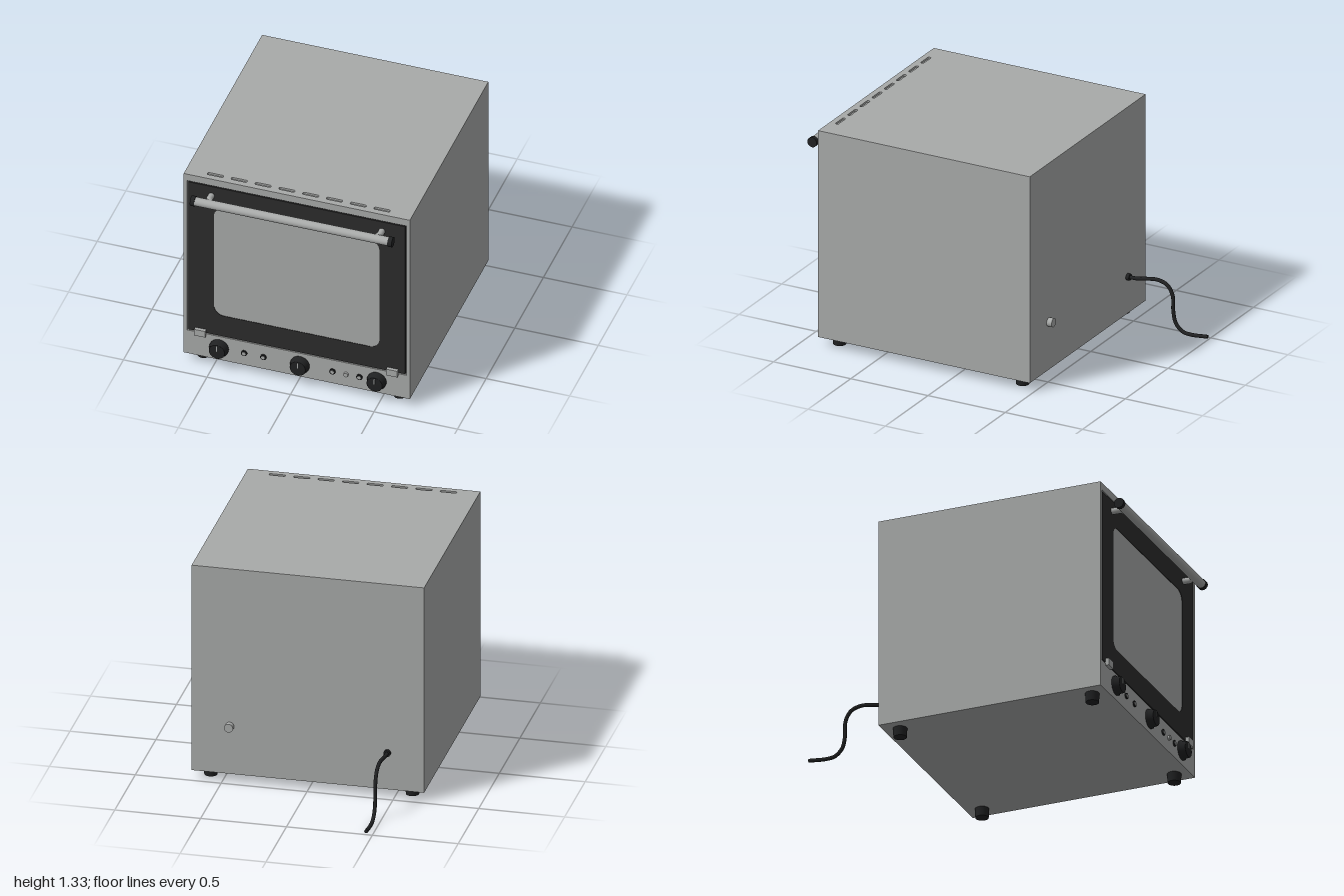
import * as THREE from 'three';

const paint = (name, color) => {
  const m = new THREE.MeshStandardMaterial({ color });
  m.name = name;
  return m;
};

// Rounded rectangle outline, drawn onto a Shape or Path
function roundedRect(target, x0, y0, x1, y1, r) {
  target.moveTo(x0 + r, y0);
  target.lineTo(x1 - r, y0);
  target.absarc(x1 - r, y0 + r, r, -Math.PI / 2, 0);
  target.lineTo(x1, y1 - r);
  target.absarc(x1 - r, y1 - r, r, 0, Math.PI / 2);
  target.lineTo(x0 + r, y1);
  target.absarc(x0 + r, y1 - r, r, Math.PI / 2, Math.PI);
  target.lineTo(x0, y0 + r);
  target.absarc(x0 + r, y0 + r, r, Math.PI, Math.PI * 1.5);
  return target;
}

function rect(target, x0, y0, x1, y1) {
  target.moveTo(x0, y0);
  target.lineTo(x1, y0);
  target.lineTo(x1, y1);
  target.lineTo(x0, y1);
  target.closePath();
  return target;
}

const plate = (shape, depth) =>
  new THREE.ExtrudeGeometry(shape, { depth, bevelEnabled: false, curveSegments: 10 });

export function createModel() {
  const root = new THREE.Group();
  root.name = 'countertopOven';
  const steel = paint('steel', 0xa8aaa9);
  const black = paint('black enamel', 0x2c2c2c);
  const rubber = paint('dark rubber', 0x202122);

  const W = 0.677, Y0 = 0.055, Y1 = 1.327, ZB = -0.48, ZF = 0.89, SKIN = 0.012;

  function add(name, geometry, material, x = 0, y = 0, z = 0, parent = root) {
    const m = new THREE.Mesh(geometry, material);
    m.name = name;
    m.position.set(x, y, z);
    parent.add(m);
    return m;
  }
  const box = (name, mat, x0, x1, y0, y1, z0, z1) =>
    add(name, new THREE.BoxGeometry(x1 - x0, y1 - y0, z1 - z0), mat,
      (x0 + x1) / 2, (y0 + y1) / 2, (z0 + z1) / 2);
  // Cylinder along z from z0 to z1
  const rod = (name, mat, x, y, z0, z1, r0, r1 = r0) =>
    add(name, new THREE.CylinderGeometry(r1, r0, z1 - z0, 32).rotateX(Math.PI / 2), mat,
      x, y, (z0 + z1) / 2);

  // Cabinet core
  box('cabinet', steel, -W, W, Y0, Y1 - SKIN, ZB, ZF - SKIN);

  // Top sheet with a row of vent slots near the front
  const top = rect(new THREE.Shape(), -W, -ZF, W, -ZB);
  for (let i = 0; i < 8; i++) {
    const x = -0.502 + i * 0.1425;
    top.holes.push(roundedRect(new THREE.Path(), x - 0.048, -0.855, x + 0.048, -0.835, 0.0095));
  }
  add('topSheet', plate(top, SKIN).rotateX(-Math.PI / 2), steel, 0, Y1 - SKIN, 0);

  // Front frame around the door opening
  const front = rect(new THREE.Shape(), -W, Y0, W, Y1 - SKIN);
  front.holes.push(rect(new THREE.Path(), -0.656, 0.219, 0.656, 1.281));
  add('frontFrame', plate(front, SKIN), steel, 0, 0, ZF - SKIN);

  // Door with rounded window
  const door = rect(new THREE.Shape(), -0.649, 0.226, 0.649, 1.274);
  door.holes.push(roundedRect(new THREE.Path(), -0.496, 0.37, 0.494, 1.13, 0.06));
  add('door', plate(door, SKIN), black, 0, 0, ZF - SKIN);
  box('window', steel, -0.51, 0.51, 0.36, 1.14, ZF - SKIN - 0.002, ZF - 0.003);

  // Door handle, end caps and bent standoffs
  const HY = 1.21, HZ = 0.97;
  const alongX = (r, length) =>
    new THREE.CylinderGeometry(r, r, length, 32).rotateZ(Math.PI / 2);
  add('handleBar', alongX(0.026, 1.16), steel, 0, HY, HZ);
  for (const s of [-1, 1]) {
    add('handleCap', alongX(0.03, 0.025), rubber, s * 0.591, HY, HZ);
    const arm = new THREE.CatmullRomCurve3([
      new THREE.Vector3(s * 0.51, HY, ZF - 0.005),
      new THREE.Vector3(s * 0.51, HY, 0.925),
      new THREE.Vector3(s * 0.502, HY, 0.945),
      new THREE.Vector3(s * 0.485, HY, 0.965),
    ]);
    add('handleStandoff', new THREE.TubeGeometry(arm, 16, 0.019, 16), steel);
    // Door hinge cover
    box('hinge', steel, s * 0.575 - 0.033, s * 0.575 + 0.033, 0.207, 0.25, ZF - 0.005, 0.911);
  }

  // Control knobs
  const knobProfile = [[0.057, 0], [0.057, 0.01], [0.051, 0.014], [0.048, 0.042], [0.045, 0.045], [0, 0.045]]
    .map(([r, h]) => new THREE.Vector2(r, h));
  for (const x of [-0.464, 0.02, 0.48]) {
    const knob = new THREE.Group();
    knob.name = 'knob';
    knob.position.set(x, 0.14, ZF);
    root.add(knob);
    const dial = new THREE.LatheGeometry(knobProfile, 40).rotateX(Math.PI / 2);
    add('dial', dial.toNonIndexed(), rubber, 0, 0, 0, knob);
    add('pointer', new THREE.BoxGeometry(0.006, 0.036, 0.004), steel, 0, 0.023, 0.0455, knob);
  }

  // Indicator lamps and the small reset button
  for (const x of [-0.314, -0.199, 0.215, 0.376]) {
    rod('lampBezel', rubber, x, 0.14, ZF - 0.002, 0.898, 0.018);
    rod('lampLens', steel, x, 0.14, 0.896, 0.901, 0.011);
  }
  rod('resetButton', steel, 0.296, 0.14, ZF - 0.002, 0.903, 0.014);

  // Feet
  for (const x of [-0.587, 0.587]) {
    for (const z of [0.8, -0.385]) {
      add('foot', new THREE.CylinderGeometry(0.041, 0.038, Y0, 32), rubber, x, Y0 / 2, z);
    }
  }

  // Rear vent stub, cord grommet and power cord
  rod('ventStub', steel, 0.455, 0.35, -0.512, ZB + 0.002, 0.026);
  rod('cordGrommet', rubber, -0.464, 0.283, -0.5, ZB + 0.002, 0.02);
  const cordPath = new THREE.CatmullRomCurve3([
    [0.283, -0.485], [0.284, -0.54], [0.297, -0.61], [0.304, -0.68], [0.283, -0.74],
    [0.225, -0.774], [0.13, -0.778], [0.06, -0.795], [0.018, -0.84], [0.011, -0.9],
    [0.016, -0.96], [0.02, -1.0],
  ].map(([y, z]) => new THREE.Vector3(-0.464, y, z)));
  add('powerCord', new THREE.TubeGeometry(cordPath, 80, 0.011, 12), rubber);
  add('cordEnd', new THREE.CircleGeometry(0.011, 12).rotateY(Math.PI), rubber, -0.464, 0.02, -1.0);

  return root;
}
